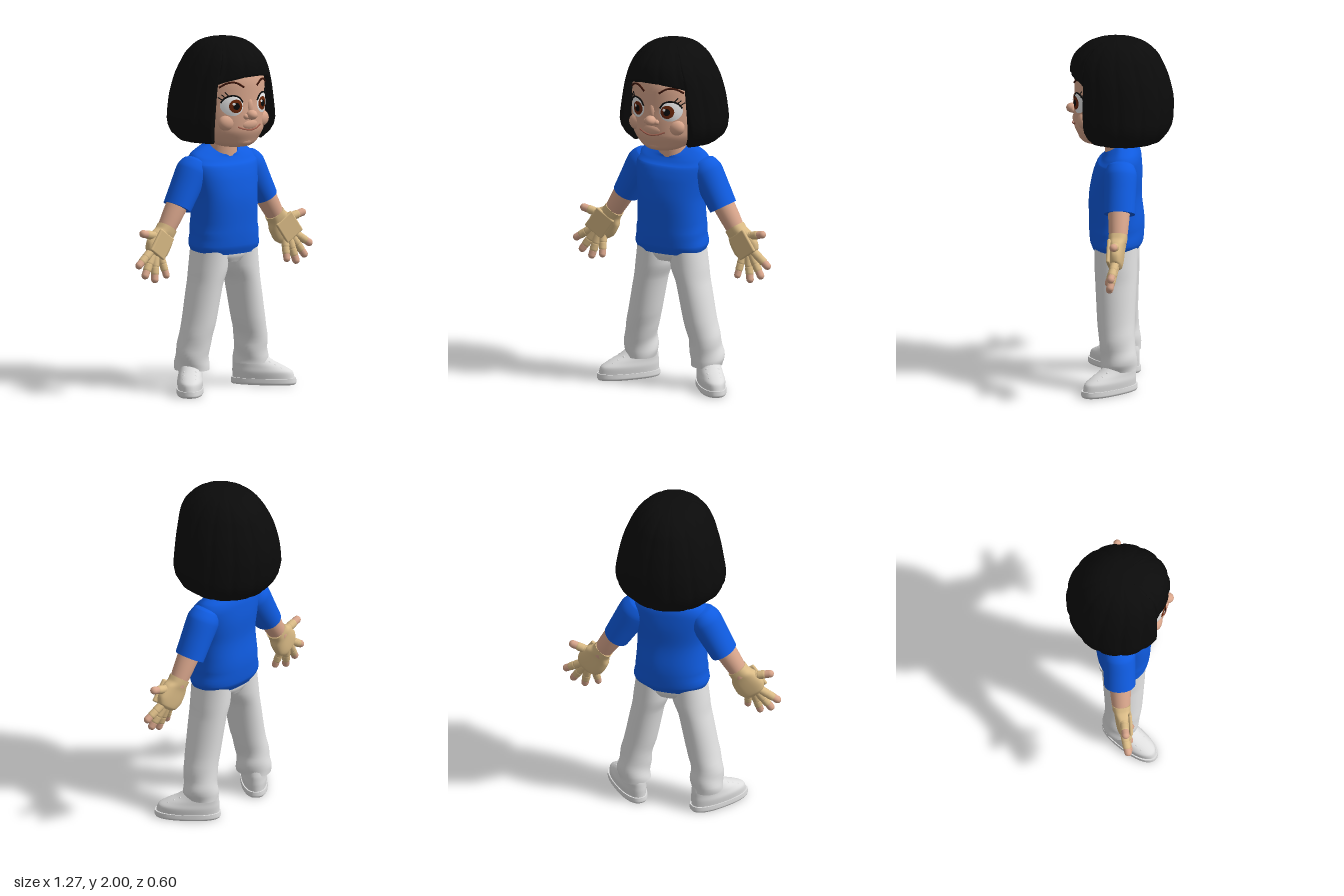
import * as THREE from 'three';
import { RoundedBoxGeometry } from 'three/addons/geometries/RoundedBoxGeometry.js';

const mat = (name, color, side = THREE.FrontSide) => {
  const m = new THREE.MeshStandardMaterial({ color, side });
  m.name = name;
  return m;
};
const V = (x, y, z) => new THREE.Vector3(x, y, z);

// Monotone cubic interpolation of section rows [y, cx, cz, rx, rz] (y ascending)
function at(S, y) {
  let i = 0;
  while (i < S.length - 2 && y > S[i + 1][0]) i++;
  const slope = (j, k) => (S[j + 1][k] - S[j][k]) / (S[j + 1][0] - S[j][0]);
  const tangent = (j, k) => {
    if (j === 0) return slope(0, k);
    if (j === S.length - 1) return slope(j - 1, k);
    const a = slope(j - 1, k), b = slope(j, k);
    return a * b <= 0 ? 0 : (2 * a * b) / (a + b);
  };
  const h = S[i + 1][0] - S[i][0], t = (y - S[i][0]) / h, u = 1 - t;
  return [1, 2, 3, 4].map((k) =>
    u * u * (1 + 2 * t) * S[i][k] + t * t * (3 - 2 * t) * S[i + 1][k] +
    h * t * u * (u * tangent(i, k) - t * tangent(i + 1, k)));
}

function build(pos, idx) {
  const g = new THREE.BufferGeometry();
  g.setAttribute('position', new THREE.Float32BufferAttribute(pos, 3));
  g.setIndex(idx);
  g.computeVertexNormals();
  return g;
}

// Closed stack of (super)elliptical rings; caps have their own vertices
function loft(S, { n = 2, sides = 40, sub = 5, warp = null, capTop = true } = {}) {
  const pos = [], idx = [], ys = [];
  const pw = (v) => Math.sign(v) * Math.abs(v) ** (2 / n);
  for (let i = 0; i < S.length - 1; i++)
    for (let k = 0; k < sub; k++) ys.push(S[i][0] + (S[i + 1][0] - S[i][0]) * k / sub);
  ys.push(S[S.length - 1][0]);
  const ring = (y) => {
    const [cx, cz, rx, rz] = at(S, y);
    for (let j = 0; j < sides; j++) {
      const a = j / sides * Math.PI * 2;
      const p = V(cx + rx * pw(Math.sin(a)), y, cz + rz * pw(Math.cos(a)));
      if (warp) warp(p);
      pos.push(p.x, p.y, p.z);
    }
  };
  ys.forEach(ring);
  for (let r = 0; r < ys.length - 1; r++)
    for (let j = 0; j < sides; j++) {
      const a = r * sides + j, b = r * sides + (j + 1) % sides;
      idx.push(a, b, b + sides, a, b + sides, a + sides);
    }
  for (const top of capTop ? [false, true] : [false]) {
    const y = top ? ys[ys.length - 1] : ys[0], start = pos.length / 3;
    ring(y);
    const [cx, cz] = at(S, y);
    pos.push(cx, y, cz);
    for (let j = 0; j < sides; j++) {
      const a = start + j, b = start + (j + 1) % sides;
      idx.push(start + sides, top ? a : b, top ? b : a);
    }
  }
  return build(pos, idx);
}

const HEAD = [[1.388, 0, .12, .04, .04], [1.4, 0, .11, .1, .1], [1.44, 0, .08, .16, .158], [1.5, 0, .06, .2, .2],
  [1.58, 0, .05, .213, .212], [1.66, 0, .05, .215, .207], [1.75, 0, .05, .21, .208], [1.85, 0, .05, .18, .185], [1.93, 0, .04, .08, .09]];
const HAIR = [[1.415, 0, -.015, .23, .22], [1.45, 0, -.01, .28, .255], [1.53, 0, -.005, .312, .292], [1.63, 0, -.005, .298, .295],
  [1.765, 0, .005, .268, .28], [1.88, 0, .02, .217, .248], [1.95, 0, .02, .16, .185], [1.985, 0, .02, .1, .11], [2, 0, .02, 0, 0]];

const faceZ = (x, y) => {
  const [, cz, rx, rz] = at(HEAD, y);
  return cz + rz * Math.sqrt(Math.max(0, 1 - (x / rx) ** 2));
};

// Bob with a fringe: the lower edge jumps from fringe to jaw length at the face opening
function hairGeometry() {
  const open = .8, rows = 28, angles = [], pos = [], idx = [];
  for (let i = 0; i <= 40; i++) angles.push(-open + 2 * open * i / 40);
  for (let i = 0; i <= 110; i++) angles.push(open + .003 + (2 * Math.PI - 2 * open - .006) * i / 110);
  angles.forEach((a, c) => {
    const bottom = c <= 40 ? 1.805 - .04 * (a / open) ** 2 : 1.42;
    for (let r = 0; r <= rows + 1; r++) {
      const v = Math.min(1, r / rows), y = 2 - (2 - bottom) * v * v;
      const [, cz, rx, rz] = at(HAIR, y);
      const k = (1 - .022 * Math.abs(Math.cos(a * 7 + .5 * Math.PI)) ** 10) * (r > rows ? .72 : 1);
      pos.push(rx * k * Math.sin(a), r > rows ? y + .01 : y, cz + rz * k * Math.cos(a));
    }
  });
  const H = rows + 2;
  for (let c = 0; c < angles.length; c++)
    for (let r = 0; r <= rows; r++) {
      const a = c * H + r, b = ((c + 1) % angles.length) * H + r;
      idx.push(a, a + 1, b + 1, a, b + 1, b);
    }
  return build(pos, idx);
}

export function createModel() {
  const root = new THREE.Group();
  const skin = mat('skin', 0xd9a68c), hair = mat('black', 0x0b0b0b, THREE.DoubleSide), shirt = mat('shirt blue', 0x0f5be0, THREE.DoubleSide);
  const cloth = mat('trouser white', 0xe2e2e2), shoe = mat('shoe white', 0xdedede), glove = mat('glove tan', 0xdabb86);
  const white = mat('eye white', 0xf2f2f2), iris = mat('iris brown', 0x6a2608), brow = mat('brow brown', 0x3c1509), lip = mat('lip', 0xa5604f);
  const add = (name, geo, m, parent = root) => {
    const mesh = new THREE.Mesh(geo, m);
    mesh.name = name;
    parent.add(mesh);
    return mesh;
  };
  const blob = (name, m, p, r) => {
    const b = add(name, new THREE.SphereGeometry(1, 24, 16), m);
    b.position.set(...p);
    b.scale.set(...r);
  };
  // Point a mesh's +y axis from a towards b
  const aim = (mesh, a, b) => {
    mesh.position.copy(a);
    mesh.quaternion.setFromUnitVectors(V(0, 1, 0), b.clone().sub(a).normalize());
    return mesh;
  };
  const capsule = (name, m, a, b, r, parent = root) =>
    aim(add(name, new THREE.CapsuleGeometry(r, a.distanceTo(b), 6, 14), m, parent), a, b).position.lerp(b, .5);
  // Thin line that follows the face
  const faceLine = (name, m, pts, r, lift = .002) => {
    const c = new THREE.CatmullRomCurve3(pts.map(([x, y]) => V(x, y, faceZ(x, y) + lift)));
    add(name, new THREE.TubeGeometry(c, 20, r, 6), m);
  };

  // Head
  add('head', loft(HEAD, { sides: 56, sub: 6 }), skin);
  add('hair', hairGeometry(), hair);
  add('neck', loft([[1.28, 0, .005, .1, .08], [1.34, 0, .008, .086, .078], [1.46, 0, .015, .08, .075]]), skin);
  blob('nose', skin, [0, 1.585, .268], [.032, .028, .036]);
  blob('noseBridge', skin, [0, 1.63, .245], [.022, .05, .022]);
  blob('upperLip', skin, [0, 1.53, .242], [.06, .035, .026]);
  blob('chin', skin, [0, 1.435, .2], [.06, .035, .035]);
  const mouth = new THREE.CatmullRomCurve3([-.08, -.045, 0, .045, .08].map((x) =>
    V(x, 1.5 + 3.2 * x * x, Math.max(faceZ(x, 1.51), .266 - 5 * x * x) + .001)));
  add('mouth', new THREE.TubeGeometry(mouth, 24, .0045, 6), lip);

  for (const s of [1, -1]) {
    blob('nostril', skin, [s * .03, 1.577, .255], [.019, .017, .02]);
    blob('cheek', skin, [s * .115, 1.545, .195], [.06, .05, .04]);

    // Eyes: curved discs laid on the face
    const ex = s * .106, ey = 1.642, ew = .057, eh = .057;
    const disc = (name, m, x, y, rx, ry, lift) => {
      const g = new THREE.RingGeometry(0, 1, 32, 5), p = g.attributes.position;
      for (let i = 0; i < p.count; i++) {
        const px = x + p.getX(i) * rx, py = y + p.getY(i) * ry;
        const q = Math.min(1, ((px - ex) / ew) ** 2 + ((py - ey) / eh) ** 2);
        p.setXYZ(i, px, py, faceZ(px, py) + .002 + .01 * (1 - q) + lift);
      }
      g.computeVertexNormals();
      add(name, g, m);
    };
    disc('eyeWhite', white, ex, ey, ew, eh, 0);
    disc('iris', iris, s * .094, 1.64, .036, .038, .002);
    disc('pupil', hair, s * .094, 1.64, .018, .02, .004);
    disc('eyeGlint', white, s * .094 - .014, 1.654, .008, .008, .006);
    faceLine('upperLid', hair, [.1, .3, .5, .7, .9].map((t) =>
      [ex + s * ew * Math.cos(t * Math.PI), ey + eh * Math.sin(t * Math.PI)]), .005);
    for (const k of [0, 1, 2])
      faceLine('eyelash', hair, [[s * (.15 - k * .012), 1.672 + k * .012], [s * (.172 - k * .014), 1.69 + k * .015]], .003, .006);
    faceLine('eyebrow', brow, [[s * .045, 1.745], [s * .09, 1.772], [s * .13, 1.77], [s * .165, 1.745]], .006);
  }

  // Shirt, with the neckline dipping at the front
  add('shirtBody', loft([[.78, 0, .025, .2, .128], [.83, 0, .02, .212, .15], [.93, 0, .02, .2, .155], [1.08, 0, .028, .195, .148],
    [1.2, 0, .017, .21, .14], [1.29, 0, .003, .225, .122], [1.34, 0, -.005, .2, .105], [1.372, 0, -.005, .145, .092], [1.395, 0, 0, .088, .084]], {
    n: 2.3, sides: 56, capTop: false,
    warp: (p) => {
      if (p.y > 1.28) p.y -= (p.y - 1.28) / .115 * Math.max(0, p.z) * .7;
      else if (p.y < .95) p.x *= 1 + .012 * Math.sin(p.y * 70 + p.z * 12);
    },
  }), shirt);
  add('hips', loft([[.73, 0, .018, .1, .1], [.77, 0, .018, .17, .117], [.86, 0, .02, .195, .125]], { n: 2.2 }), cloth);

  for (const s of [1, -1]) {
    const P = (x, y, z) => V(s * x, y, z);

    // Arm
    const sleeve = loft([[-.06, 0, 0, .04, .05], [-.04, 0, 0, .07, .075], [.02, 0, 0, .092, .092], [.12, 0, 0, .085, .09], [.236, 0, 0, .076, .088]]);
    aim(add('sleeve', sleeve, shirt), P(.195, 1.262, -.012), P(.312, 1.052, -.012));
    const arm = loft([[0, 0, 0, .064, .064], [.12, 0, 0, .058, .058], [.24, 0, 0, .048, .048]], { sides: 28 });
    aim(add('forearm', arm, skin), P(.285, 1.115, -.01), P(.405, .92, -.008));

    // Gloved hand
    const hand = new THREE.Group();
    hand.name = 'hand';
    root.add(hand);
    const wrist = P(.385, .95, -.008), knuckles = P(.49, .8, -.002);
    aim(add('palm', loft([[0, 0, 0, .055, .053], [.03, 0, 0, .057, .05], [.07, 0, 0, .078, .042], [.13, 0, 0, .086, .037],
      [.17, 0, 0, .07, .032], [.19, 0, 0, .04, .02]], { n: 2.6, sides: 32 }), glove, hand), wrist, knuckles);
    const pad = aim(add('palmPad', new RoundedBoxGeometry(.125, .14, .02, 4, .0095), glove, hand), wrist, knuckles);
    pad.position.copy(P(.457, .866, .036));
    const fingers = [
      [P(.45, .905, 0), P(.572, .935, .01), .025], [P(.515, .825, .004), P(.612, .76, .022), .024],
      [P(.505, .802, .004), P(.572, .7, .028), .024], [P(.482, .79, .006), P(.508, .672, .034), .024],
      [P(.448, .8, .008), P(.434, .69, .045), .022]];
    for (const [a, b, r] of fingers) {
      const on = (t) => a.clone().lerp(b, t);
      capsule('fingerBase', glove, on(0), on(.36), r, hand);
      capsule('fingerMiddle', glove, on(.5), on(.7), r * .97, hand);
      capsule('fingertip', skin, on(.82), on(1), r * .88, hand);
    }

    // Leg
    add('trouserLeg', loft([[.125, .21, -.004, .09, .1], [.17, .212, -.004, .094, .102], [.25, .207, .004, .09, .1], [.4, .175, .015, .092, .106],
      [.6, .136, .017, .092, .116], [.7, .112, .018, .104, .121], [.84, .1, .02, .098, .122]].map(([y, x, ...r]) => [y, s * x, ...r]), {
      warp: (p) => { if (p.y < .4) p.x += .006 * Math.sin(p.y * 45 + p.z * 22) * (.4 - p.y) / .27; },
    }), cloth);

    // Shoe, toes turned out
    const foot = new THREE.Group();
    foot.name = 'shoe';
    foot.position.set(s * .187, 0, -.043);
    foot.rotation.y = s * .71;
    root.add(foot);
    add('sole', loft([[0, 0, .119, .07, .18], [.012, 0, .119, .076, .186], [.036, 0, .119, .075, .184]], { n: 2.4 }), shoe, foot);
    add('shoeUpper', loft([[.034, 0, .119, .07, .177], [.07, 0, .113, .073, .172], [.1, 0, .09, .068, .148], [.13, 0, .06, .064, .115],
      [.175, 0, .034, .058, .078]], { n: 2.2 }), shoe, foot);
    for (let i = 0; i < 4; i++) {
      const y = .155 - i * .017, z = .125 + i * .033;
      capsule('lace', shoe, V(-.032, y - .012, z), V(.032, y - .012, z), .008, foot);
    }
  }
  return root;
}
